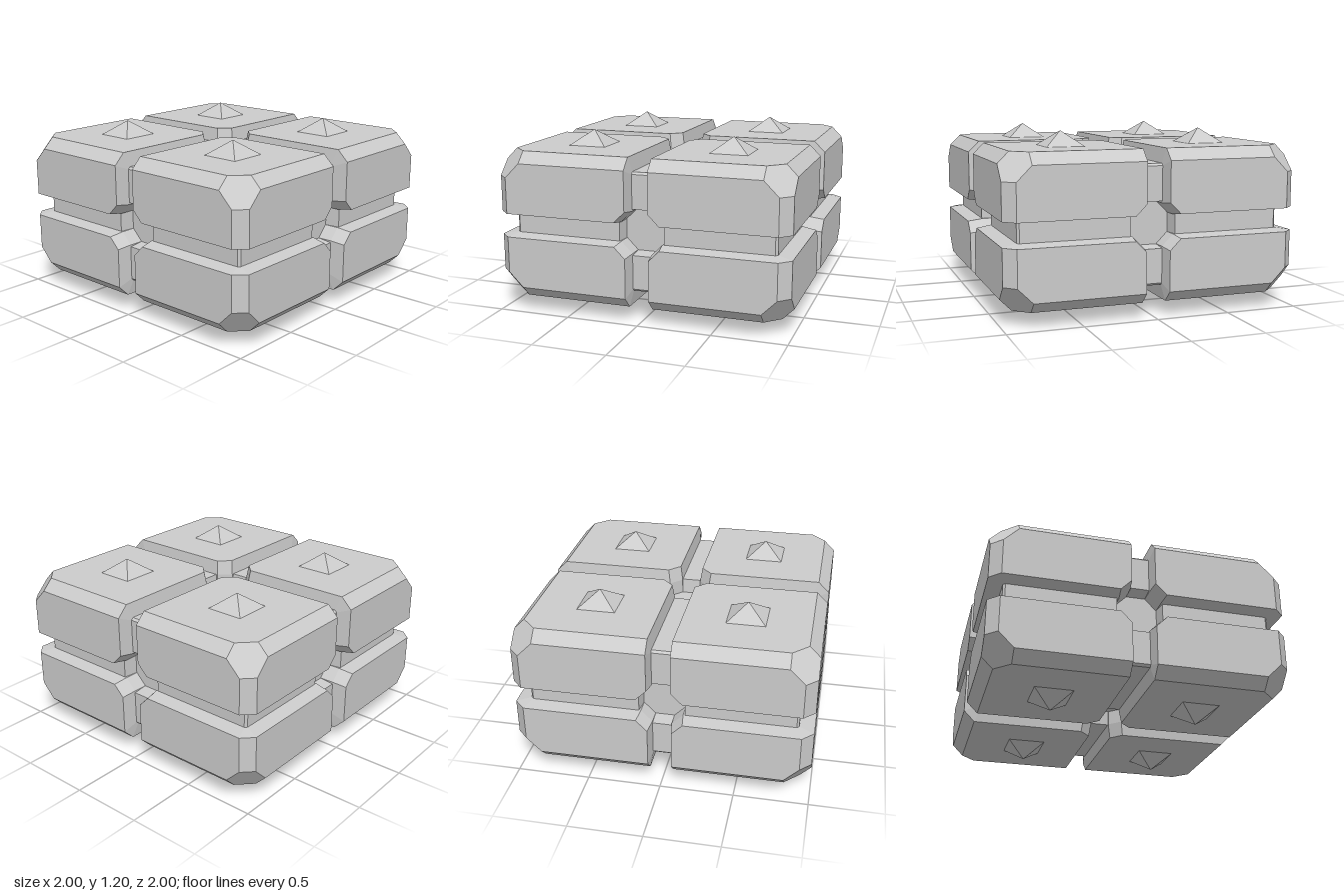
import * as THREE from 'three';
import { ConvexGeometry } from 'three/addons/geometries/ConvexGeometry.js';

const HALF = [1, 0.5, 1];        // half extents of the whole block
const BEVEL = 0.075;             // edge bevel
const CORNER = 0.175;            // start of the corner cut
const GAP = 0.08, GAP_IN = 0.065;        // half groove width at the surface / floor
const OCT = 0.155, OCT_IN = 0.142;       // half octagon width at the surface / floor
const DEPTH = 0.1, CORE_BEVEL = 0.015;   // groove depth, bevel of the core

const material = new THREE.MeshStandardMaterial({ color: 0xcccccc, flatShading: true });

function add(parent, name, geometry) {
  const mesh = new THREE.Mesh(geometry, material);
  mesh.name = name;
  parent.add(mesh);
  return mesh;
}

// One bevelled corner block with drafted inner walls, in the octant given by signs
function blockGeometry(signs) {
  const points = [];
  for (let a = 0; a < 3; a++) {
    const b = (a + 1) % 3, c = (a + 2) % 3;
    const put = (pa, pb, pc) => {
      const p = [];
      p[a] = pa * signs[a];
      p[b] = pb * signs[b];
      p[c] = pc * signs[c];
      points.push(new THREE.Vector3(...p));
    };
    const [A, B, C] = [HALF[a], HALF[b], HALF[c]];
    // outer face
    put(A, OCT, GAP);
    put(A, GAP, OCT);
    put(A, B - BEVEL, GAP);
    put(A, GAP, C - BEVEL);
    put(A, B - CORNER, C - BEVEL);
    put(A, B - BEVEL, C - CORNER);
    // the same face's edge at groove depth
    const edge = DEPTH + CORE_BEVEL;
    put(A - DEPTH, OCT_IN, GAP_IN);
    put(A - DEPTH, GAP_IN, OCT_IN);
    put(A - DEPTH, B - edge, GAP_IN);
    put(A - DEPTH, GAP_IN, C - edge);
    // innermost corner
    put(GAP_IN, OCT_IN, OCT_IN);
  }
  return new ConvexGeometry(points);
}

// Core plate whose rim is the groove floor, notched in the middle of each side
function plateGeometry(halfW, halfH) {
  const w = halfW - DEPTH, h = halfH - DEPTH, notch = 0.11;
  const quarter = [
    [w - notch, OCT_IN], [w, OCT], [w, h - CORE_BEVEL],
    [w - CORE_BEVEL, h], [OCT, h], [OCT_IN, h - notch],
  ];
  const mirrored = [...quarter].reverse().map(([x, y]) => [-x, y]);
  const upper = [...quarter, ...mirrored];
  const outline = [...upper, ...upper.map(([x, y]) => [-x, -y])];
  const shape = new THREE.Shape(outline.map(([x, y]) => new THREE.Vector2(x, y)));
  const geometry = new THREE.ExtrudeGeometry(shape, { depth: 0.14, bevelEnabled: false });
  return geometry.translate(0, 0, -0.07);
}

export function createModel() {
  const model = new THREE.Group();
  model.name = 'segmentedBlock';
  const body = new THREE.Group();
  body.name = 'body';
  body.position.y = 0.6;
  model.add(body);

  // Eight corner blocks, each with a pyramid stud on its top or bottom
  for (const sx of [-1, 1]) for (const sy of [-1, 1]) for (const sz of [-1, 1]) {
    add(body, 'cornerBlock', blockGeometry([sx, sy, sz]));
    const pyramid = new THREE.ConeGeometry(0.13 * Math.SQRT2, 0.1, 4, 1).rotateY(Math.PI / 4);
    if (sy < 0) pyramid.rotateX(Math.PI);
    add(body, 'pyramidStud', pyramid).position.set(sx * 0.5, sy * 0.55, sz * 0.5);
  }

  // Three crossing plates form the groove floors
  const [X, Y, Z] = HALF;
  add(body, 'corePlateFront', plateGeometry(X, Y));
  add(body, 'corePlateSide', plateGeometry(Z, Y).rotateY(Math.PI / 2));
  add(body, 'corePlateLevel', plateGeometry(X, Z).rotateX(Math.PI / 2));

  // Inner box closes the octagonal pockets
  add(body, 'pocketFloor', new THREE.BoxGeometry(2 * X - 0.4, 2 * Y - 0.4, 2 * Z - 0.4));
  return model;
}
